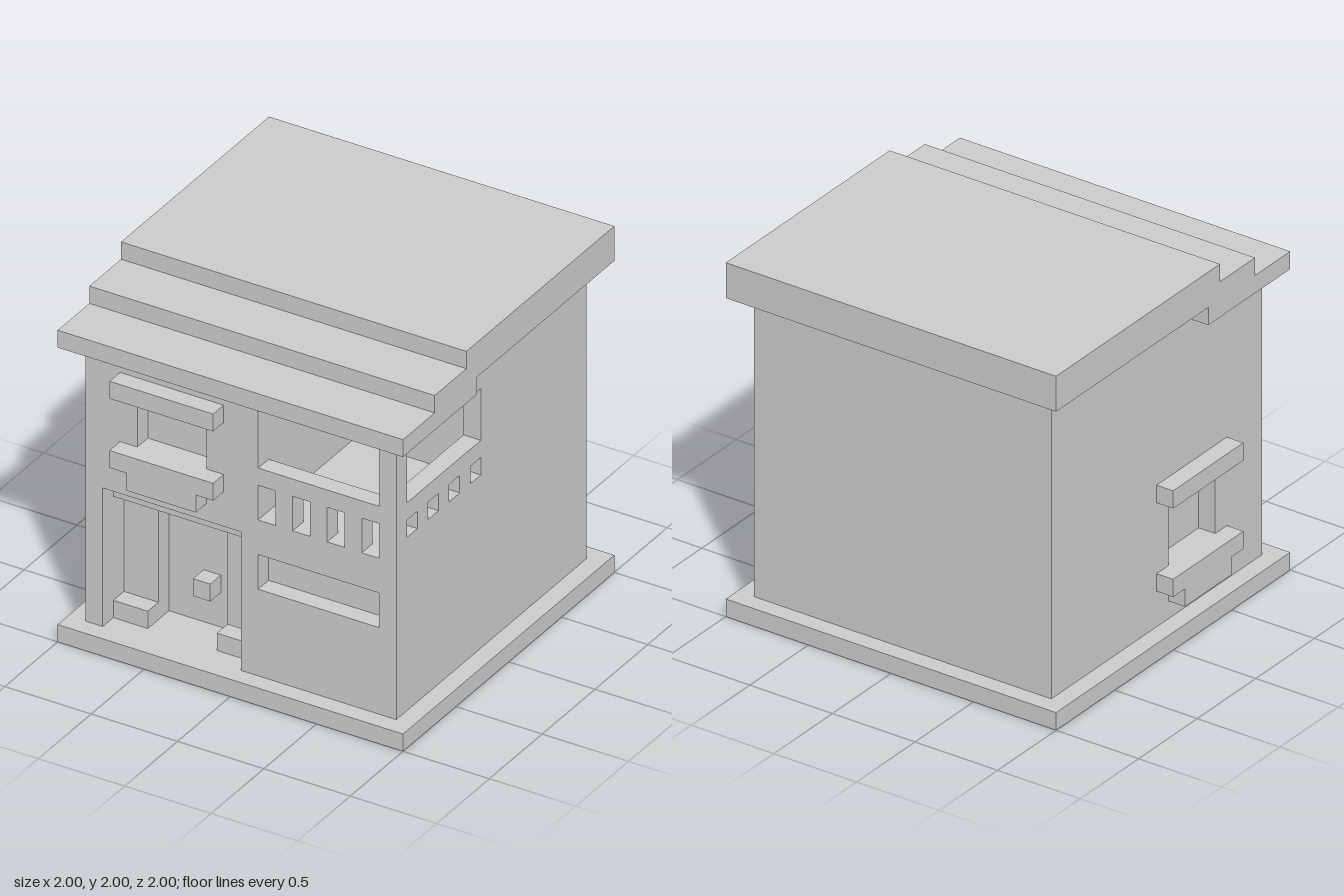
import * as THREE from 'three';

const material = new THREE.MeshStandardMaterial({ color: 0xcccccc, flatShading: true });
const T = 0.1; // wall thickness

const rect = (u0, u1, v0, v1) => [[u0, v0], [u1, v0], [u1, v1], [u0, v1]];

// Wall panel cut from an outline with holes, standing in the xy plane
function wallGeometry(outline, holes) {
  const toPoints = (list) => list.map(([u, v]) => new THREE.Vector2(u, v));
  const shape = new THREE.Shape(toPoints(outline));
  holes.forEach((h) => shape.holes.push(new THREE.Path(toPoints(h))));
  return new THREE.ExtrudeGeometry(shape, { depth: T, bevelEnabled: false });
}

export function createModel() {
  const house = new THREE.Group();
  house.name = 'house';

  const add = (name, geometry) => {
    const mesh = new THREE.Mesh(geometry, material);
    mesh.name = name;
    house.add(mesh);
    return mesh;
  };
  const box = (name, x0, x1, y0, y1, z0, z1) => {
    const mesh = add(name, new THREE.BoxGeometry(x1 - x0, y1 - y0, z1 - z0));
    mesh.position.set((x0 + x1) / 2, (y0 + y1) / 2, (z0 + z1) / 2);
    return mesh;
  };

  // Base and stepped roof
  box('base', -1, 1, 0, 0.1, -1, 1);
  box('roofEave', -1, 1, 1.7, 1.8, 0.3, 1);
  box('roofMiddle', -1, 1, 1.8, 1.9, -1, 0.7);
  box('roofTop', -1, 1, 1.9, 2, -1, 0.4);
  box('wallCap', -0.9, 0.9, 1.7, 1.8, -0.9, 0.3);

  // Front wall: doorway and balcony notched, window, panel and railing slots cut through
  const frontHoles = [rect(-0.6, -0.2, 1.2, 1.5), rect(0.1, 0.8, 0.6, 0.8)];
  for (let i = 0; i < 4; i++) frontHoles.push(rect(0.1 + 0.2 * i, 0.2 + 0.2 * i, 1, 1.2));
  add('frontWall', wallGeometry([
    [-0.9, 0.1], [-0.8, 0.1], [-0.8, 0.9], [0, 0.9], [0, 0.1], [0.9, 0.1],
    [0.9, 1.7], [0.8, 1.7], [0.8, 1.3], [0.1, 1.3], [0.1, 1.7], [-0.9, 1.7],
  ], frontHoles)).position.z = 0.8;

  // Side wall with the balcony opening; the last slot meets the corner post
  const sideHoles = [];
  for (let i = 0; i < 3; i++) sideHoles.push(rect(0.1 + 0.2 * i, 0.2 + 0.2 * i, 1.1, 1.2));
  const balconyWall = add('balconySideWall', wallGeometry([
    [-0.9, 0.1], [0.8, 0.1], [0.8, 1.1], [0.7, 1.1], [0.7, 1.2], [0.8, 1.2],
    [0.8, 1.3], [0.1, 1.3], [0.1, 1.6], [0.8, 1.6], [0.8, 1.7], [-0.9, 1.7],
  ], sideHoles));
  balconyWall.rotation.y = -Math.PI / 2;
  balconyWall.position.x = 0.9;

  // Opposite side wall with a window
  const windowWall = add('windowSideWall',
    wallGeometry(rect(-0.9, 0.8, 0.1, 1.7), [rect(0.1, 0.5, 0.4, 0.8)]));
  windowWall.rotation.y = -Math.PI / 2;
  windowWall.position.x = -0.8;

  // Solid interior, leaving the balcony and porch hollow
  box('rearCore', -0.8, 0.8, 0.1, 1.7, -0.9, 0);
  box('balconyFloor', 0, 0.8, 0.1, 1, 0, 0.8);
  box('upperCore', -0.8, 0.1, 0.9, 1.7, 0, 0.8);
  box('door', -0.8, 0, 0.1, 0.9, 0, 0.6);

  // Porch
  box('lintel', -0.8, 0, 0.8, 0.9, 0.7, 0.8);
  box('doorHead', -0.6, -0.2, 0.8, 0.9, 0.6, 0.7);
  for (const x of [-0.8, -0.2]) {
    box('doorSidePanel', x, x + 0.2, 0.1, 0.9, 0.6, 0.7);
    box('planter', x, x + 0.2, 0.1, 0.2, 0.7, 0.8);
  }
  box('doorKnob', -0.4, -0.3, 0.3, 0.4, 0.6, 0.7);
  box('balconyKnob', 0.1, 0.2, 1.4, 1.5, 0, 0.3);

  // Window trims: awning, sill and bracket
  box('frontAwning', -0.7, -0.1, 1.5, 1.6, 0.9, 1);
  box('frontSill', -0.7, -0.1, 1.1, 1.2, 0.9, 1);
  box('frontBracket', -0.6, -0.2, 1, 1.1, 0.9, 1);
  box('sideAwning', -1, -0.9, 0.8, 0.9, 0, 0.6);
  box('sideSill', -1, -0.9, 0.3, 0.4, 0, 0.6);
  box('sideBracket', -1, -0.9, 0.2, 0.3, 0.1, 0.5);

  return house;
}
